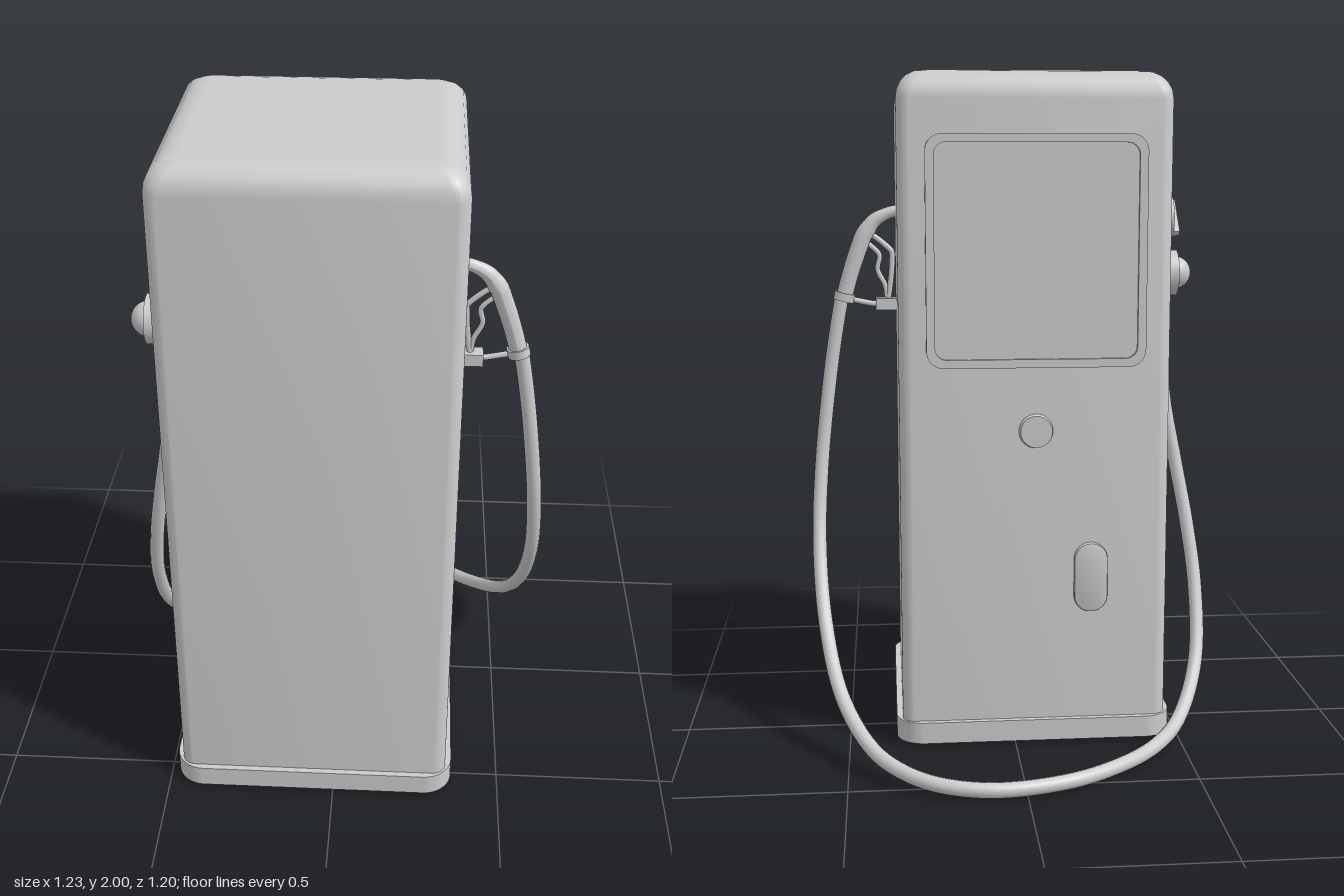
import * as THREE from 'three';
import { toCreasedNormals } from 'three/addons/utils/BufferGeometryUtils.js';

const CX = -0.06, CZ = 0.2; // centre of the cabinet
const BACK = -0.182, SIDE = -0.46; // back face z, hose-outlet face x
const V = (x, y, z) => new THREE.Vector3(x, y, z);

export function createModel() {
  const group = new THREE.Group();
  const mat = new THREE.MeshStandardMaterial({ color: 0xcccccc });
  const thinMat = new THREE.MeshStandardMaterial({ color: 0xcccccc, side: THREE.DoubleSide });

  const add = (name, geo, x = 0, y = 0, z = 0, parent = group, m = mat) => {
    const mesh = new THREE.Mesh(geo, m);
    mesh.name = name;
    mesh.position.set(x, y, z);
    parent.add(mesh);
    return mesh;
  };

  // Rounded rectangle centred on the origin
  const roundRect = (w, h, r, C = THREE.Shape) => {
    const s = new C(), a = w / 2 - r, b = h / 2 - r;
    s.absarc(a, b, r, 0, Math.PI / 2);
    s.absarc(-a, b, r, Math.PI / 2, Math.PI);
    s.absarc(-a, -b, r, Math.PI, Math.PI * 1.5);
    s.absarc(a, -b, r, Math.PI * 1.5, Math.PI * 2);
    s.closePath();
    return s;
  };

  const plate = (shape, depth, bevel = 0) => toCreasedNormals(new THREE.ExtrudeGeometry(shape, {
    depth: depth - bevel, bevelEnabled: bevel > 0, bevelSize: bevel, bevelThickness: bevel,
    bevelOffset: -bevel, bevelSegments: 2, curveSegments: 10,
  }), 0.6);

  // Skin over rounded-rectangle rings [y, inset], closed on top
  const loft = (w, d, r, rings) => {
    const pos = [], idx = [];
    let n = 0;
    for (const [y, inset] of rings) {
      const pts = roundRect(w - 2 * inset, d - 2 * inset, r).getPoints(6);
      n = pts.length;
      for (const p of pts) pos.push(p.x, y, -p.y);
    }
    for (let k = 0; k < rings.length - 1; k++) for (let i = 0; i < n; i++) {
      const a = k * n + i, b = k * n + (i + 1) % n;
      idx.push(a, b, b + n, a, b + n, a + n);
    }
    const top = (rings.length - 1) * n;
    pos.push(0, rings[rings.length - 1][0], 0);
    for (let i = 0; i < n; i++) idx.push(top + n, top + i, top + (i + 1) % n);
    const g = new THREE.BufferGeometry();
    g.setAttribute('position', new THREE.Float32BufferAttribute(pos, 3));
    g.setIndex(idx);
    return toCreasedNormals(g, 0.6);
  };

  // Tube whose radius follows a list of values along its length
  const taperTube = (points, radii, steps = 24, sides = 14) => {
    const curve = new THREE.CatmullRomCurve3(points);
    const g = new THREE.TubeGeometry(curve, steps, 1, sides);
    const p = g.attributes.position, v = new THREE.Vector3();
    for (let i = 0; i <= steps; i++) {
      const c = curve.getPointAt(i / steps), t = (i / steps) * (radii.length - 1);
      const k = Math.min(Math.floor(t), radii.length - 2);
      const r = THREE.MathUtils.lerp(radii[k], radii[k + 1], t - k);
      for (let j = 0; j <= sides; j++) {
        const q = i * (sides + 1) + j;
        v.fromBufferAttribute(p, q).sub(c).multiplyScalar(r).add(c);
        p.setXYZ(q, v.x, v.y, v.z);
      }
    }
    g.computeVertexNormals();
    return g;
  };

  // Cabinet with softly rounded roof edge
  const rings = [[0.07, 0], [1.92, 0]];
  for (let i = 1; i <= 5; i++) {
    const a = (i / 5) * Math.PI / 2;
    rings.push([1.92 + 0.08 * Math.sin(a), 0.075 * (1 - Math.cos(a))]);
  }
  rings.push([2, 0.09]);
  add('cabinet', loft(0.8, 0.764, 0.04, rings), CX, 0, CZ);

  // Plinth
  const plinth = plate(roundRect(0.836, 0.8, 0.085), 0.065);
  plinth.rotateX(-Math.PI / 2);
  add('plinth', plinth, CX, 0.01, CZ);

  // Display: raised frame around a recessed screen
  const display = new THREE.Group();
  display.name = 'display';
  display.position.set(CX, 1.485, BACK + 0.004);
  display.rotation.y = Math.PI;
  group.add(display);
  const frame = roundRect(0.64, 0.67, 0.05);
  frame.holes.push(roundRect(0.59, 0.62, 0.035, THREE.Path));
  add('displayFrame', plate(frame, 0.026), 0, 0, 0, display);
  add('screen', plate(roundRect(0.6, 0.63, 0.035), 0.016), 0, 0, 0, display);

  // Round button and oval plate on the back
  const button = add('button', new THREE.CylinderGeometry(0.047, 0.052, 0.024, 32), CX, 0.96, BACK - 0.007);
  button.rotation.x = -Math.PI / 2;
  const oval = add('ovalPlate', plate(roundRect(0.1, 0.21, 0.049), 0.022, 0.005), -0.225, 0.515, BACK + 0.004);
  oval.rotation.y = Math.PI;

  // Rotary switch with a slanted grip
  const rotary = new THREE.Group();
  rotary.name = 'rotarySwitch';
  rotary.position.set(SIDE, 1.575, -0.01);
  group.add(rotary);
  add('switchDisc', new THREE.CylinderGeometry(0.066, 0.066, 0.03, 32), -0.008, 0, 0, rotary).rotation.z = Math.PI / 2;
  add('switchGrip', new THREE.BoxGeometry(0.03, 0.126, 0.02), -0.027, 0, 0, rotary).rotation.x = 0.75;

  // Hose outlet: drum, dome and downward socket
  const drum = add('outletDrum', new THREE.CylinderGeometry(0.072, 0.072, 0.09, 32), -0.497, 1.395, 0.195);
  drum.rotation.z = Math.PI / 2;
  const dome = add('outletDome', new THREE.SphereGeometry(0.052, 28, 12, 0, Math.PI * 2, 0, Math.PI / 2), -0.537, 1.395, 0.195);
  dome.rotation.z = Math.PI / 2;
  add('outletSocket', new THREE.CylinderGeometry(0.027, 0.027, 0.05, 20), -0.495, 1.318, 0.195);

  // Hose: hangs from the outlet, loops behind on the ground, climbs to the nozzle
  const hosePath = new THREE.CatmullRomCurve3([
    V(-0.495, 1.34, 0.195), V(-0.496, 1.2, 0.195), V(-0.51, 1, 0.19), V(-0.545, 0.8, 0.17),
    V(-0.578, 0.6, 0.125), V(-0.596, 0.4, 0.06), V(-0.578, 0.2, -0.05), V(-0.5, 0.07, -0.2),
    V(-0.4, 0.032, -0.33), V(-0.25, 0.023, -0.46), V(-0.1, 0.022, -0.54), V(0.1, 0.024, -0.578),
    V(0.25, 0.032, -0.545), V(0.35, 0.045, -0.475), V(0.43, 0.075, -0.385), V(0.52, 0.175, -0.22),
    V(0.572, 0.35, -0.04), V(0.591, 0.57, 0.1), V(0.582, 0.8, 0.17), V(0.555, 1.05, 0.196),
    V(0.53, 1.22, 0.2), V(0.508, 1.34, 0.2),
  ]);
  add('hose', new THREE.TubeGeometry(hosePath, 160, 0.022, 14));

  // Nozzle, resting with its spout in the cabinet
  const nozzle = new THREE.Group();
  nozzle.name = 'nozzle';
  nozzle.position.z = 0.2;
  group.add(nozzle);
  add('spout', taperTube([V(0.325, 1.595, 0), V(0.37, 1.582, 0), V(0.41, 1.558, 0), V(0.435, 1.52, 0)],
    [0.017, 0.019, 0.023, 0.026]), 0, 0, 0, nozzle, thinMat);
  add('handle', taperTube([V(0.4, 1.567, 0), V(0.433, 1.53, 0), V(0.458, 1.47, 0), V(0.485, 1.39, 0), V(0.503, 1.325, 0)],
    [0.021, 0.027, 0.027, 0.026, 0.026]), 0, 0, 0, nozzle, thinMat);
  const collar = add('collar', new THREE.CylinderGeometry(0.032, 0.032, 0.026, 24), 0.503, 1.325, 0, nozzle);
  collar.rotation.z = 0.24;

  // Trigger guard, its foot and the trigger
  const guard = new THREE.CatmullRomCurve3([
    V(0.425, 1.525, 0), V(0.39, 1.5, 0), V(0.353, 1.465, 0), V(0.355, 1.4, 0), V(0.368, 1.315, 0),
    V(0.41, 1.303, 0), V(0.485, 1.318, 0),
  ], false, 'catmullrom', 0.2);
  add('triggerGuard', new THREE.TubeGeometry(guard, 40, 0.009, 8), 0, 0, 0, nozzle);
  add('guardFoot', new THREE.BoxGeometry(0.065, 0.036, 0.05), 0.372, 1.303, 0, nozzle);
  const trigger = new THREE.CatmullRomCurve3([
    V(0.425, 1.49, 0), V(0.392, 1.455, 0), V(0.398, 1.41, 0), V(0.375, 1.36, 0), V(0.37, 1.325, 0),
  ]);
  add('trigger', new THREE.TubeGeometry(trigger, 24, 0.008, 8), 0, 0, 0, nozzle);

  return group;
}
